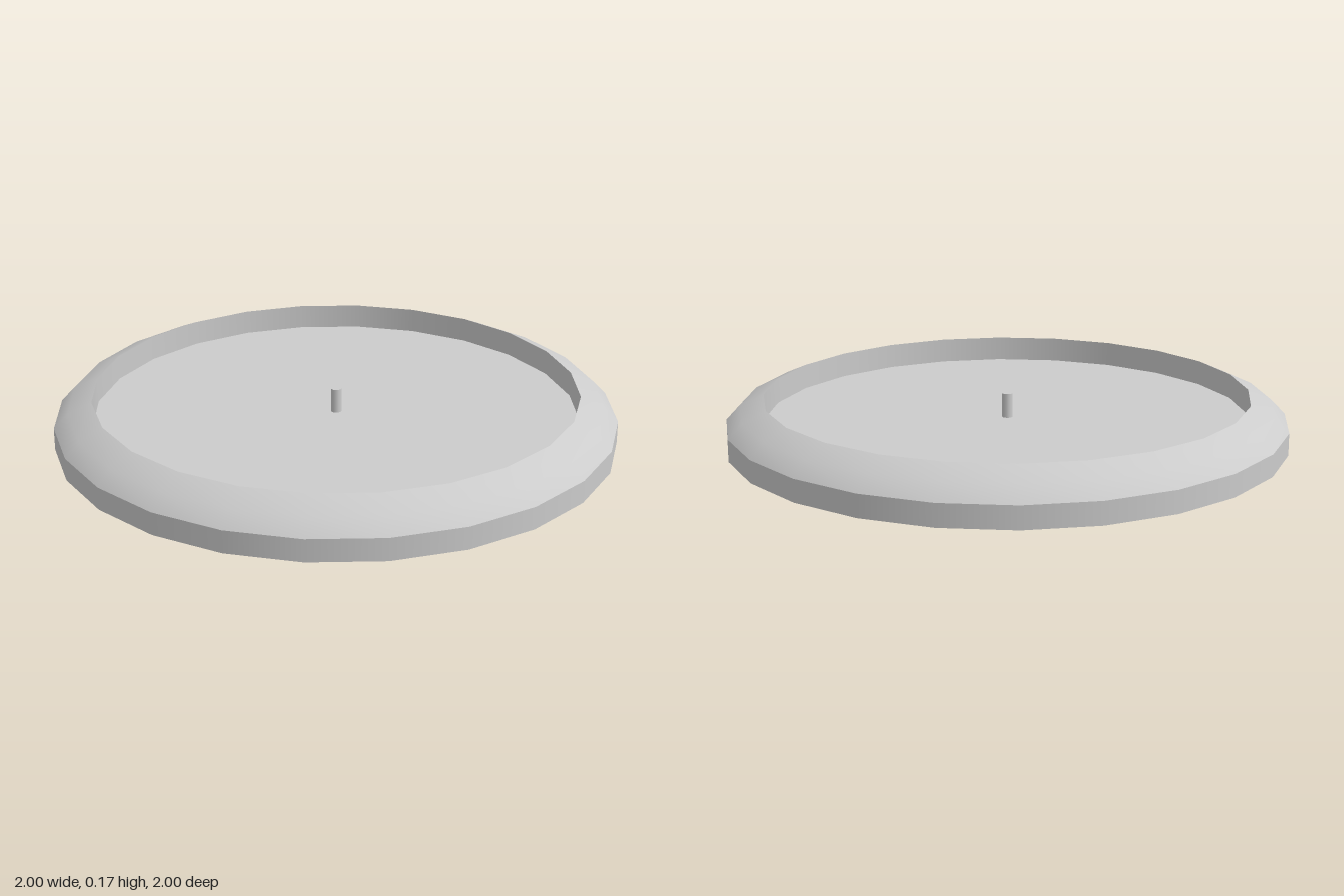
import * as THREE from 'three';

const SIDES = 24;
const FLOOR = 0.08;
const TOP = 0.17;
const INNER = 0.865;

export function createModel() {
  const model = new THREE.Group();
  const material = new THREE.MeshStandardMaterial({ color: 0xcccccc });

  function addMesh(name, geometry, parent = model) {
    const mesh = new THREE.Mesh(geometry, material);
    mesh.name = name;
    parent.add(mesh);
    return mesh;
  }

  // Each profile run is its own smooth band, so the edges between bands stay sharp
  function addBand(name, profile, parent) {
    const points = profile.map(([r, y]) => new THREE.Vector2(r, y));
    return addMesh(name, new THREE.LatheGeometry(points, SIDES), parent);
  }

  // Flat base disc: underside, outer wall and recessed floor
  const base = new THREE.Group();
  base.name = 'base';
  model.add(base);
  addBand('underside', [[0, 0], [1, 0]], base);
  addBand('outerWall', [[1, 0], [1, FLOOR]], base);
  addBand('floor', [[INNER, FLOOR], [0, FLOOR]], base);

  // Raised rim: rounded shoulder outside, straight wall inside
  const rim = new THREE.Group();
  rim.name = 'rim';
  model.add(rim);
  addBand('shoulder', [[1, FLOOR], [0.95, 0.132], [INNER, TOP]], rim);
  addBand('innerWall', [[INNER, TOP], [INNER, FLOOR]], rim);

  // Small pin standing at the centre of the floor
  const pinHeight = 0.087;
  const pin = addMesh('centrePin', new THREE.CylinderGeometry(0.019, 0.019, pinHeight, 12));
  pin.position.y = FLOOR + pinHeight / 2;

  return model;
}
